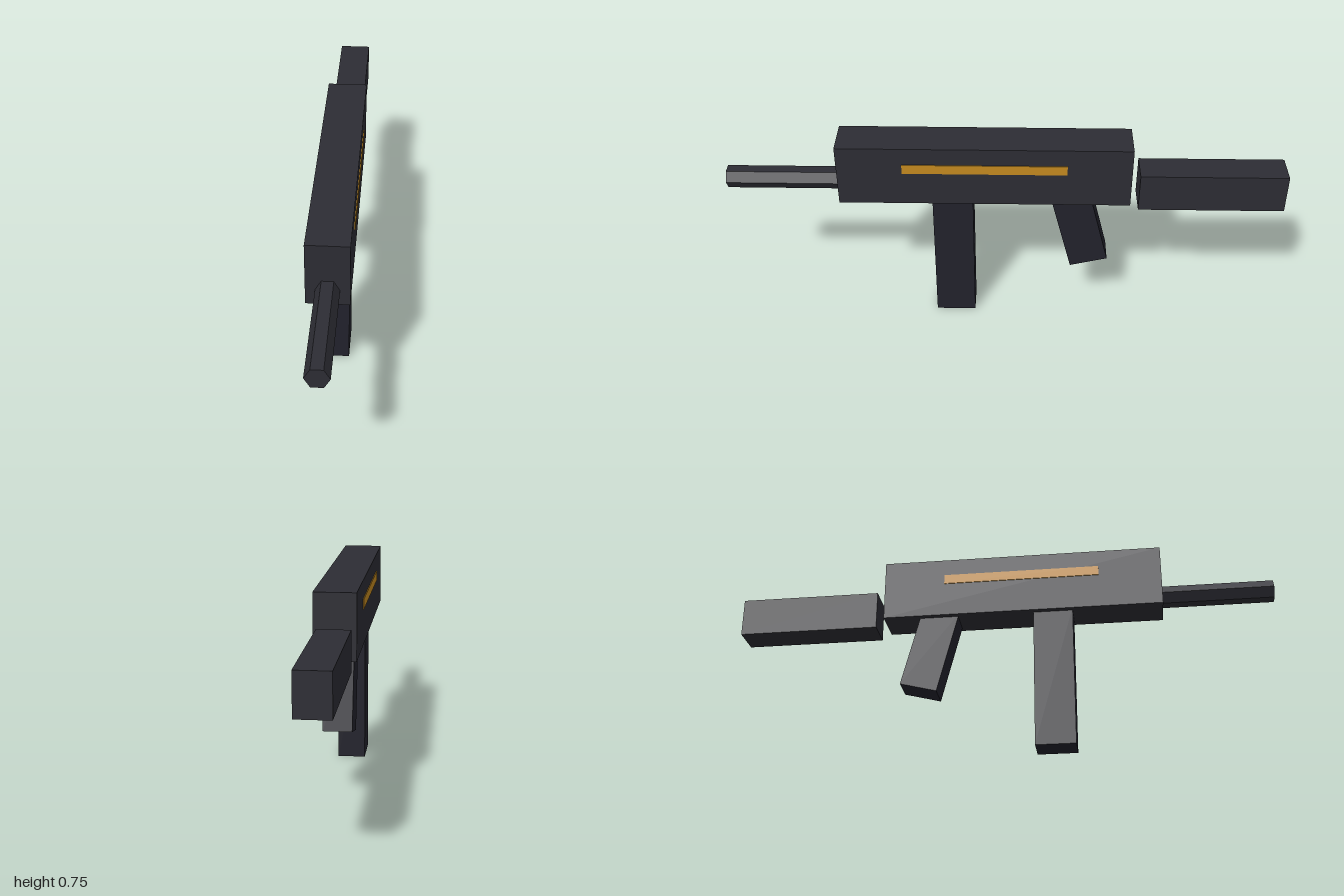
import * as THREE from 'three';

export function createModel() {
  const model = new THREE.Group();
  const material = (name, color) => {
    const m = new THREE.MeshStandardMaterial({ color });
    m.name = name;
    return m;
  };
  const casing = material('charcoal casing', 0x2d2d34);
  const dark = material('dark blue-black', 0x22222c);
  const gold = material('gold', 0xc48a20);

  const add = (name, geometry, mat, x, y, z) => {
    const mesh = new THREE.Mesh(geometry, mat);
    mesh.name = name;
    mesh.position.set(x, y, z);
    model.add(mesh);
    return mesh;
  };
  // Box given by its width and its y and z ranges
  const block = (name, mat, width, y0, y1, z0, z1, x = 0) =>
    add(name, new THREE.BoxGeometry(width, y1 - y0, z1 - z0), mat, x, (y0 + y1) / 2, (z0 + z1) / 2);

  // Main body, detached rear stock and straight magazine
  block('body', casing, 0.145, 0.523, 0.754, -0.446, 0.594);
  block('stock', casing, 0.116, 0.494, 0.638, -1, -0.477);
  block('magazine', dark, 0.102, 0, 0.535, 0.116, 0.262);

  // Hexagonal barrel with flats at top and bottom
  const hex = new THREE.CylinderGeometry(0.04, 0.04, 0.42, 6, 1, false, Math.PI / 6).toNonIndexed();
  hex.computeVertexNormals();
  hex.rotateX(Math.PI / 2);
  add('barrel', hex, casing, 0, 0.581, 0.79);

  // Grip raked backwards, its top sunk into the body
  const rake = 0.25;
  const length = 0.32;
  const grip = add('grip', new THREE.BoxGeometry(0.102, length, 0.14), dark,
    0, 0.242 + (length / 2) * Math.cos(rake), -0.31 + (length / 2) * Math.sin(rake));
  grip.rotation.x = rake;

  // Thin accent strip on each side
  for (const side of [-1, 1]) {
    block(side > 0 ? 'leftStrip' : 'rightStrip', gold, 0.006, 0.653, 0.689, -0.218, 0.363, side * 0.0725);
  }

  return model;
}
